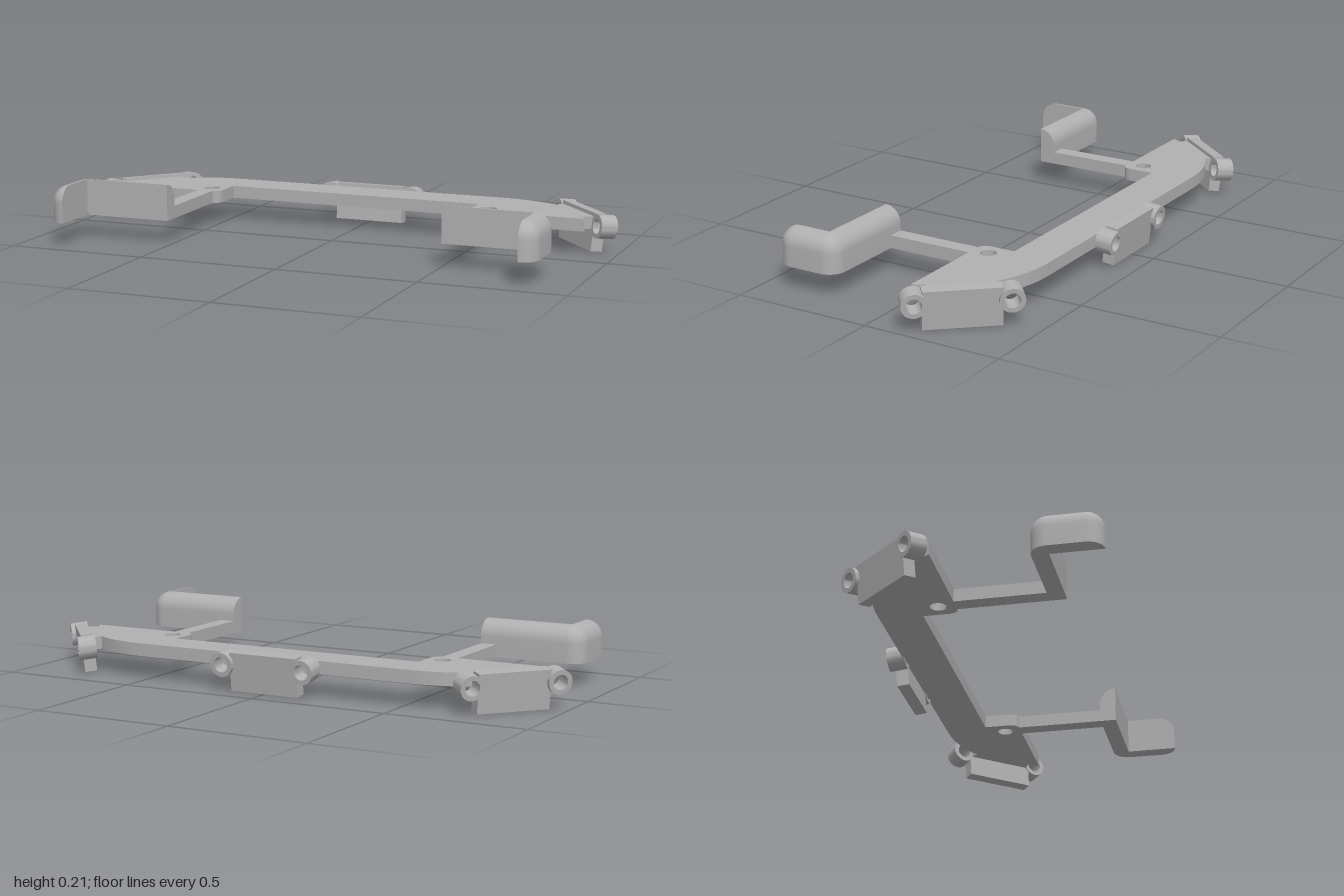
import * as THREE from 'three';
import { toCreasedNormals } from 'three/addons/utils/BufferGeometryUtils.js';

const BOTTOM = 0.085, PLATE_TOP = 0.13, BRACKET_TOP = 0.214;

function mesh(geometry, material, name) {
  const m = new THREE.Mesh(geometry, material);
  m.name = name;
  return m;
}

function circleHole(x, y, r) {
  const p = new THREE.Path();
  p.absarc(x, y, r, 0, Math.PI * 2, true);
  return p;
}

// Flat crossbar with flared ends, drawn as (x, -z) and extruded upward
function crossbarGeometry() {
  const half = new THREE.Path();
  half.moveTo(0.481, 0.23);
  half.lineTo(0.481, 0.14);
  half.quadraticCurveTo(0.483, 0.108, 0.512, 0.106);
  half.lineTo(0.9, 0.107);
  half.lineTo(0.878, 0.148);
  half.lineTo(0.925, 0.163);
  half.lineTo(0.758, 0.358);
  half.lineTo(0.74, 0.32);
  half.quadraticCurveTo(0.64, 0.38, 0.51, 0.38);
  const right = half.getPoints(12);
  const left = right.map(p => new THREE.Vector2(-p.x, p.y)).reverse();
  const shape = new THREE.Shape([...right, ...left]);
  for (const s of [1, -1]) shape.holes.push(circleHole(s * 0.538, 0.165, 0.028));
  const g = new THREE.ExtrudeGeometry(shape, { depth: PLATE_TOP - BOTTOM, bevelEnabled: false, curveSegments: 24 });
  g.rotateX(-Math.PI / 2);
  g.translate(0, BOTTOM, 0);
  return toCreasedNormals(g, 0.5);
}

// L-shaped bracket: a round-shouldered section swept around two sharp inner corners
function bracketGeometry() {
  const t = 0.058, innerX = 0.509, pivotX = 0.827, runZ = 0.263, endZ = 0.385, steps = 10;
  const profile = [[0, BOTTOM], [t, BOTTOM]];
  for (let i = 0; i <= steps; i++) {
    const a = (i / steps) * Math.PI / 2;
    profile.push([t * Math.cos(a), BRACKET_TOP - t + t * Math.sin(a)]);
  }
  const stations = [[innerX, runZ, 0]];
  for (const [z, start] of [[runZ, 0], [endZ, Math.PI / 2]])
    for (let i = 0; i <= steps; i++) stations.push([pivotX, z, start + (i / steps) * Math.PI / 2]);

  const pos = [], idx = [], n = profile.length;
  for (const [x, z, a] of stations)
    for (const [d, y] of profile) pos.push(x + d * Math.sin(a), y, z - d * Math.cos(a));
  for (let s = 0; s < stations.length - 1; s++)
    for (let i = 0; i < n; i++) {
      const j = (i + 1) % n, a = s * n, b = a + n;
      idx.push(a + i, a + j, b + i, a + j, b + j, b + i);
    }
  const last = (stations.length - 1) * n;
  for (let k = 1; k < n - 1; k++) idx.push(0, k + 1, k, last, last + k, last + k + 1);
  const g = new THREE.BufferGeometry();
  g.setAttribute('position', new THREE.Float32BufferAttribute(pos, 3));
  g.setIndex(idx);
  return toCreasedNormals(g, 0.5);
}

// Mounting block with a tubular ear at each end; outer face looks along local +z
function buildMount(material, name) {
  const tilt = new THREE.Group();
  const earShape = new THREE.Shape();
  earShape.absarc(0, 0, 0.042, 0, Math.PI * 2, false);
  earShape.holes.push(circleHole(0, 0, 0.026));
  const ear = toCreasedNormals(
    new THREE.ExtrudeGeometry(earShape, { depth: 0.062, bevelEnabled: false, curveSegments: 24 }), 0.5);
  for (const s of [1, -1]) {
    const m = mesh(ear, material, 'mountEar');
    m.position.set(s * 0.156, 0, -0.062);
    tilt.add(m);
  }
  const block = mesh(new THREE.BoxGeometry(0.258, 0.134, 0.043), material, 'mountBlock');
  block.position.set(0, -0.026, -0.0365);
  tilt.add(block);
  // The lower edge leans outward
  tilt.rotation.x = 0.11;
  const mount = new THREE.Group();
  mount.name = name;
  mount.add(tilt);
  return mount;
}

export function createModel() {
  const model = new THREE.Group();
  const grey = new THREE.MeshStandardMaterial({ color: 0xb0b0b0 });
  grey.name = 'grey';

  const frame = new THREE.Group();
  frame.name = 'frame';
  frame.position.x = -0.008;
  frame.add(mesh(crossbarGeometry(), grey, 'crossbar'));

  // Mirrored arms and brackets
  const bracket = bracketGeometry();
  for (const s of [1, -1]) {
    const side = new THREE.Group();
    side.name = s > 0 ? 'leftArmAssembly' : 'rightArmAssembly';
    const arm = mesh(new THREE.BoxGeometry(0.058, PLATE_TOP - BOTTOM, 0.335), grey, 'arm');
    arm.position.set(0.538, (PLATE_TOP + BOTTOM) / 2, 0.0495);
    side.add(arm, mesh(bracket, grey, 'bracket'));
    side.scale.x = s;
    frame.add(side);
  }
  model.add(frame);

  // Rear and side mounts
  const mounts = [
    ['rearMount', 0, -0.438, Math.PI],
    ['leftMount', 0.872, -0.291, Math.PI - 0.86],
    ['rightMount', -0.872, -0.291, Math.PI + 0.86],
  ];
  for (const [name, x, z, turn] of mounts) {
    const mount = buildMount(grey, name);
    mount.position.set(x, 0.095, z);
    mount.rotation.y = turn;
    model.add(mount);
  }
  return model;
}
